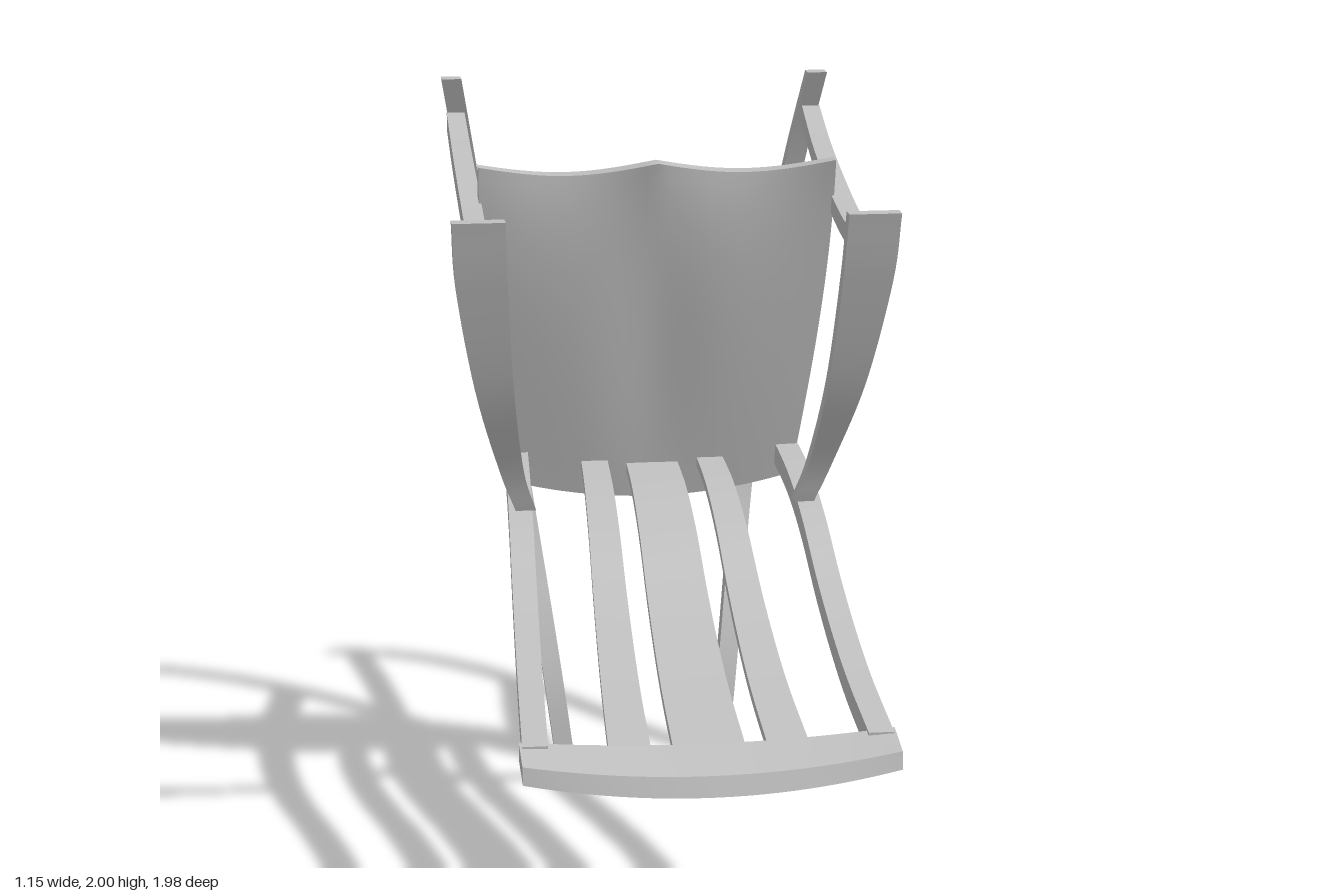
import * as THREE from 'three';
import { toCreasedNormals } from 'three/addons/utils/BufferGeometryUtils.js';

const grey = new THREE.MeshStandardMaterial({ color: 0xc0c0c0 });
grey.name = 'plain grey';

// Closed solid through equal rings of corners; end caps pair each front corner with its back one
function loft(rings, crease = 0.6) {
  const n = rings[0].length, idx = [];
  const quad = (a, b, c, d) => idx.push(a, b, c, a, c, d);
  for (let r = 0; r < rings.length - 1; r++) {
    for (let i = 0; i < n; i++) {
      const j = (i + 1) % n, p = r * n, q = p + n;
      quad(p + i, p + j, q + j, q + i);
    }
  }
  const end = (rings.length - 1) * n;
  for (let i = 0; i < n / 2 - 1; i++) {
    quad(n - 1 - i, n - 2 - i, i + 1, i);
    quad(end + i, end + i + 1, end + n - 2 - i, end + n - 1 - i);
  }
  // turn the faces outward whatever the ring direction
  const pts = rings.flat().map((p) => new THREE.Vector3(...p));
  let volume = 0;
  for (let i = 0; i < idx.length; i += 3) {
    volume += pts[idx[i]].dot(pts[idx[i + 1]].clone().cross(pts[idx[i + 2]]));
  }
  if (volume < 0) idx.reverse();
  const geo = new THREE.BufferGeometry().setFromPoints(pts);
  geo.setIndex(idx);
  return toCreasedNormals(geo, crease);
}

// Rectangular bar along [x, y, z, width] points; its thickness lies along 'y' or 'z'
function bar(points, thick, axis, side = 1, steps = 28) {
  const path = new THREE.CatmullRomCurve3(points.map((p) => new THREE.Vector3(p[0], p[1], p[2])), false, 'catmullrom');
  const widths = new THREE.CatmullRomCurve3(points.map((p) => new THREE.Vector3(p[3], 0, 0)), false, 'catmullrom');
  const rings = [];
  for (let s = 0; s <= steps; s++) {
    const c = path.getPoint(s / steps), w = widths.getPoint(s / steps).x / 2, h = thick / 2;
    rings.push([[-1, -1], [1, -1], [1, 1], [-1, 1]].map(([a, b]) => [
      side * (c.x + a * w),
      c.y + (axis === 'y' ? b * h : 0),
      c.z + (axis === 'z' ? b * h : 0),
    ]));
  }
  return loft(rings);
}

// Seat line as [z, y], shared by the side rails and the slats
const seatLine = [[-0.925, 0.958], [-0.7, 0.985], [-0.45, 0.998], [-0.2, 0.965], [0, 0.895],
  [0.2, 0.79], [0.4, 0.705], [0.6, 0.642], [0.86, 0.59]];

export function createModel() {
  const group = new THREE.Group();
  const add = (name, geo) => {
    const mesh = new THREE.Mesh(geo, grey);
    mesh.name = name;
    group.add(mesh);
  };

  for (const [label, side] of [['left', 1], ['right', -1]]) {
    // Long bowed leg
    const legZ = [-0.67, -0.7, -0.76, -0.835, -0.9, -0.945, -0.965, -0.957, -0.927, -0.873, -0.797];
    add(label + 'Leg', bar(legZ.map((z, i) => {
      const y = i * 0.2;
      return [0.225 + 0.12 * y + 0.013 * y * y, y, z, 0.055];
    }), 0.048, 'z', side, 40));

    // Seat side rail
    add(label + 'SeatRail', bar(seatLine.map(([z, y]) =>
      [0.355 + 0.075 * (z + 0.925) / 1.785, y, z, 0.064]), 0.06, 'y', side, 40));

    // Arm rest
    add(label + 'Arm', bar([[0.503, 1.683, 0.16, 0.055], [0.5, 1.705, -0.1, 0.055], [0.5, 1.748, -0.35, 0.055],
      [0.502, 1.805, -0.6, 0.053], [0.505, 1.874, -0.815, 0.05]], 0.052, 'y', side, 20));

    // Arm support, widening upward
    add(label + 'ArmSupport', bar([[0.377, 0.95, -0.08, 0.055], [0.416, 1.07, -0.04, 0.064],
      [0.465, 1.315, 0.07, 0.1], [0.5, 1.61, 0.16, 0.132], [0.509, 1.795, 0.204, 0.137]], 0.044, 'z', side));
  }

  // Seat slats, the middle one wider and lower
  const slats = [['middleSlat', 0, 0, 0.142, 0.18, 0.022, 1], ['leftSlat', 0.16, 0.197, 0.072, 0.105, 0.01, 1],
    ['rightSlat', 0.16, 0.197, 0.072, 0.105, 0.01, -1]];
  for (const [name, xBack, xFront, wBack, wFront, drop, side] of slats) {
    const line = [[-0.42, 0.996], ...seatLine.slice(3)];
    add(name, bar(line.map(([z, y]) => {
      const t = (z + 0.42) / 1.28;
      return [xBack + (xFront - xBack) * t, y - drop * (1 - t), z, wBack + (wFront - wBack) * t];
    }), 0.024, 'y', side, 32));
  }

  // Bowed board across the front of the seat
  const board = [];
  for (let i = 0; i <= 24; i++) {
    const u = i / 12 - 1, k = 1 - u * u, x = 0.468 * u;
    board.push([
      [x, 0.622 - 0.016 * k, 0.832 + 0.02 * k],
      [x, 0.6 - 0.034 * k, 0.945 + 0.025 * k],
      [x, 0.556 - 0.04 * k, 0.955 + 0.032 * k],
      [x, 0.573 - 0.03 * k, 0.838 + 0.02 * k],
    ]);
  }
  add('frontBoard', loft(board));

  // Padded back panel: scalloped top, rounded bottom, soft bulges in front, bowed behind
  const panel = [], cols = 32, rows = 28;
  for (let r = 0; r <= rows; r++) {
    const v = r / rows, front = [], back = [];
    for (let c = 0; c <= cols; c++) {
      const u = c / (cols / 2) - 1, k = 1 - u * u;
      const halfWidth = 0.395 + 0.085 * Math.sin(v * Math.PI / 2);
      const scallop = Math.sin(Math.PI * Math.abs(u));
      const top = 1.853 - 0.034 * scallop, bottom = 0.935 - 0.055 * k;
      const y = bottom + (top - bottom) * v;
      const edge = -0.4 + 0.18 * v - 0.035 * scallop * v ** 6;
      const pad = 0.012 * Math.sin(Math.PI * v) * k * (1 - 1.4 * Math.exp(-u * u * 12));
      front.push([u * halfWidth, y, edge + pad]);
      back.unshift([u * halfWidth, y, edge - 0.046 - 0.024 * k * (1 - 0.4 * v)]);
    }
    panel.push([...front, ...back]);
  }
  add('backPanel', loft(panel, 0.8));

  return group;
}
